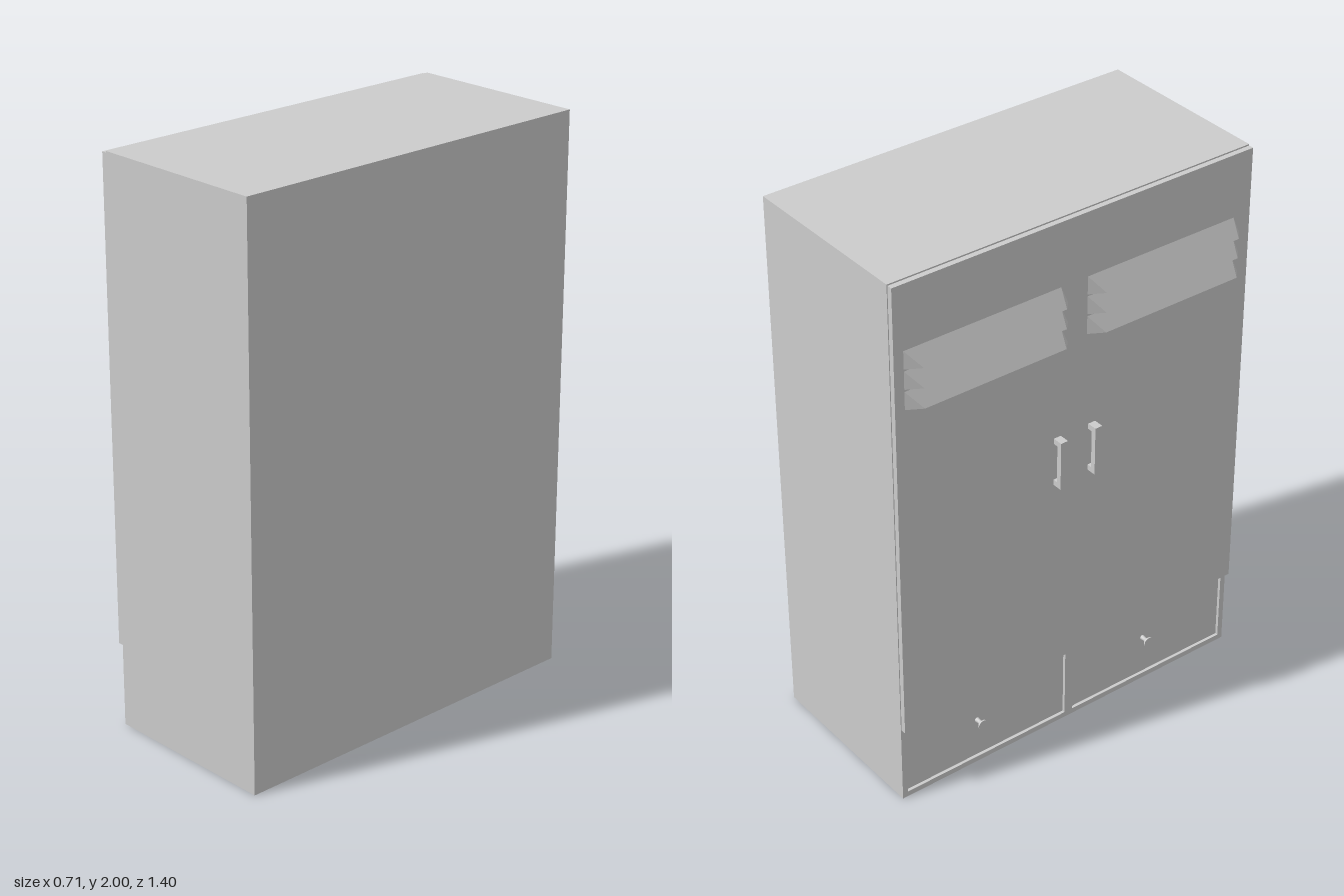
import * as THREE from 'three';
import { ConvexGeometry } from 'three/addons/geometries/ConvexGeometry.js';

const material = new THREE.MeshStandardMaterial({ color: 0xcccccc, flatShading: true });
const smooth = new THREE.MeshStandardMaterial({ color: 0xcccccc });

function add(parent, name, geometry, mat = material) {
  const mesh = new THREE.Mesh(geometry, mat);
  mesh.name = name;
  parent.add(mesh);
  return mesh;
}

// Box given by its limits on each axis
function boxBetween(x0, x1, y0, y1, z0, z1) {
  return new THREE.BoxGeometry(x1 - x0, y1 - y0, z1 - z0)
    .translate((x0 + x1) / 2, (y0 + y1) / 2, (z0 + z1) / 2);
}

function rectangle(PathType, u0, u1, v0, v1) {
  const p = new PathType();
  p.moveTo(u0, v0);
  p.lineTo(u1, v0);
  p.lineTo(u1, v1);
  p.lineTo(u0, v1);
  p.closePath();
  return p;
}

// Slanted louvre wedge with a straight cut at one end and a skewed cut at the other
function louvreGeometry(z0, z1, bottom) {
  const back = -0.32, outer = -0.35, top = bottom + 0.065;
  return new ConvexGeometry([
    new THREE.Vector3(back, top, z0),
    new THREE.Vector3(back, bottom, z0),
    new THREE.Vector3(outer, bottom, z0 + 0.053),
    new THREE.Vector3(back, top, z1 - 0.028),
    new THREE.Vector3(back, bottom, z1),
    new THREE.Vector3(outer, bottom, z1 - 0.028),
  ]);
}

// U-shaped pull handle, open towards the door
function handleGeometry(z0, width) {
  const s = new THREE.Shape();
  [[-0.32, 1.03], [-0.357, 1.03], [-0.357, 1.21], [-0.32, 1.21],
    [-0.32, 1.19], [-0.338, 1.19], [-0.338, 1.05], [-0.32, 1.05]]
    .forEach(([x, y], i) => (i ? s.lineTo(x, y) : s.moveTo(x, y)));
  return new THREE.ExtrudeGeometry(s, { depth: width, bevelEnabled: false }).translate(0, 0, z0);
}

export function createModel() {
  const cabinet = new THREE.Group();
  cabinet.name = 'cabinet';

  // Main case
  add(cabinet, 'case', boxBetween(-0.275, 0.355, 0, 2, -0.702, 0.702));

  // Face frame with two drawer openings
  const openings = [[-0.682, -0.017], [0.017, 0.682]];
  const frame = rectangle(THREE.Shape, -0.702, 0.702, 0, 2);
  for (const [z0, z1] of openings) frame.holes.push(rectangle(THREE.Path, z0, z1, 0.02, 0.285));
  add(cabinet, 'faceFrame', new THREE.ExtrudeGeometry(frame, { depth: 0.026, bevelEnabled: false })
    .rotateY(-Math.PI / 2).translate(-0.275, 0, 0));

  // Drawers with flared round knobs
  const knobProfile = [[0, 0], [0.009, 0], [0.007, 0.018], [0.01, 0.025], [0.018, 0.031], [0.018, 0.036], [0, 0.036]]
    .map(([r, h]) => new THREE.Vector2(r, h));
  openings.forEach(([z0, z1], i) => {
    const drawer = new THREE.Group();
    drawer.name = 'drawer';
    add(drawer, 'drawerFront', boxBetween(-0.29, -0.27, 0.02, 0.285, z0, z1));
    const knob = add(drawer, 'drawerKnob', new THREE.LatheGeometry(knobProfile, 20).rotateZ(Math.PI / 2));
    knob.position.set(-0.29, 0.172, [-0.385, 0.335][i]);
    cabinet.add(drawer);
  });

  // Doors, each with three louvres and a handle
  const doors = [
    { z0: -0.699, z1: 0, louvre: [-0.663, -0.04], handle: -0.091 },
    { z0: 0, z1: 0.702, louvre: [0.037, 0.662], handle: 0.049 },
  ];
  for (const d of doors) {
    const door = new THREE.Group();
    door.name = 'door';
    add(door, 'doorPanel', boxBetween(-0.32, -0.3, 0.297, 1.995, d.z0, d.z1));
    for (const y of [1.555, 1.628, 1.7]) add(door, 'louvre', louvreGeometry(...d.louvre, y));
    add(door, 'doorHandle', handleGeometry(d.handle, 0.028));
    cabinet.add(door);
  }
  return cabinet;
}
